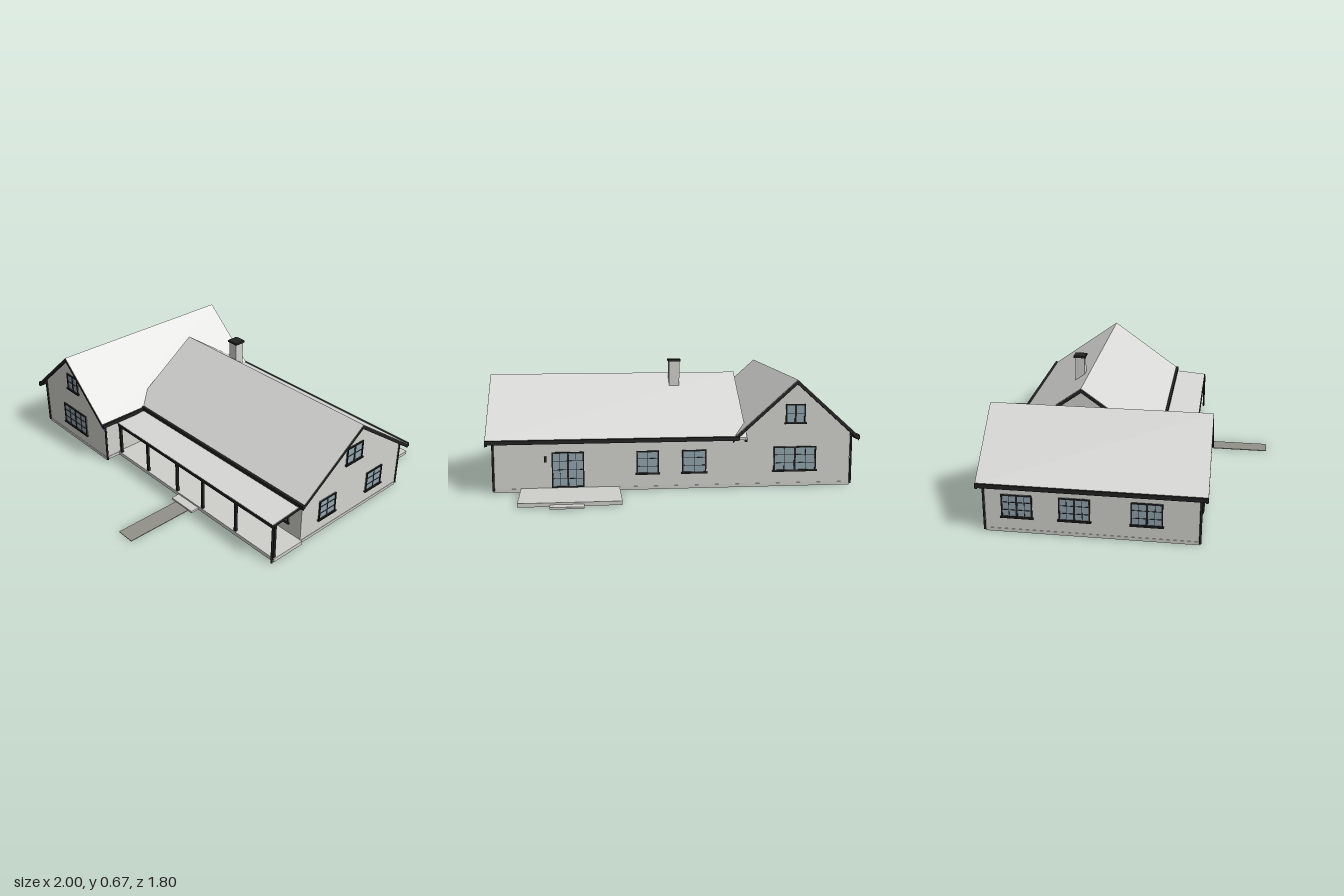
import * as THREE from 'three';

const mat = (name, color) => {
  const m = new THREE.MeshStandardMaterial({ color });
  m.name = name;
  return m;
};

export function createModel() {
  const house = new THREE.Group();
  house.name = 'house';
  const wallMat = mat('pale wall', 0xd3d3ce);
  const roofMat = mat('light roof', 0xd8d9d6);
  const stoneMat = mat('concrete', 0xcfcfcb);
  const pathMat = mat('path paving', 0x929289);
  const blackMat = mat('black trim', 0x222222);
  const glassMat = mat('blue grey glass', 0x93a5b0);
  const metalMat = mat('handle metal', 0xb5b5b5);

  const add = (parent, name, geo, m) => {
    const mesh = new THREE.Mesh(geo, m);
    mesh.name = name;
    parent.add(mesh);
    return mesh;
  };
  // Box given by its min and max on each axis
  const box = (parent, name, m, x0, x1, y0, y1, z0, z1) => {
    const b = add(parent, name, new THREE.BoxGeometry(x1 - x0, y1 - y0, z1 - z0), m);
    b.position.set((x0 + x1) / 2, (y0 + y1) / 2, (z0 + z1) / 2);
    return b;
  };
  // Outline extruded along local z from a to b
  const prism = (parent, name, m, pts, a, b) => {
    const shape = new THREE.Shape(pts.map(p => new THREE.Vector2(p[0], p[1])));
    const geo = new THREE.ExtrudeGeometry(shape, { depth: b - a, bevelEnabled: false });
    geo.translate(0, 0, a);
    return add(parent, name, geo, m);
  };

  // Gabled volume: walls, roof and rake boards, ridge along local z
  const PEAK = 0.585;
  function gabled(name, o) {
    const g = new THREE.Group();
    g.name = name;
    const s = (PEAK - o.eave) / o.half;
    const chevron = (top, low, h) => [
      [-h, PEAK - s * h - low], [0, PEAK - low], [h, PEAK - s * h - low],
      [h, PEAK - s * h - top], [0, PEAK - top], [-h, PEAK - s * h - top]];
    const wy = PEAK - s * o.wall - 0.012;
    prism(g, 'walls', wallMat,
      [[-o.wall, 0], [o.wall, 0], [o.wall, wy], [0, PEAK - 0.012], [-o.wall, wy]], o.w0, o.w1);
    prism(g, 'roof', roofMat, chevron(0, 0.012, o.half), o.r0, o.r1);
    for (const [a, b] of [[o.r0 - 0.001, o.r0 + 0.012], [o.r1 - 0.012, o.r1 + 0.001]])
      prism(g, 'rakeBoard', blackMat, chevron(0.003, 0.025, o.half), a, b);
    house.add(g);
    return g;
  }
  const wing = gabled('wing', { half: 0.345, wall: 0.305, eave: 0.275, w0: -0.54, w1: 0.548, r0: -0.575, r1: 0.585 });
  wing.position.x = -0.65;
  const main = gabled('mainHouse', { half: 0.43, wall: 0.395, eave: 0.278, w0: -0.345, w1: 0.962, r0: -0.38, r1: 0.999 });
  main.rotation.y = Math.PI / 2;
  main.position.z = -0.145;

  // Gutters along the eaves
  box(house, 'wingGutterRight', blackMat, -1, -0.98, 0.258, 0.28, -0.575, 0.585);
  box(house, 'wingGutterLeft', blackMat, -0.32, -0.298, 0.258, 0.28, 0.25, 0.585);
  box(house, 'mainGutterFront', blackMat, -0.32, 1, 0.263, 0.284, 0.272, 0.292);
  box(house, 'mainGutterBack', blackMat, -0.34, 1, 0.263, 0.284, -0.584, -0.563);

  // Downspouts
  for (const [x, z, top] of [[-0.96, 0.552, 0.27], [-0.33, 0.552, 0.27], [-0.96, -0.545, 0.27],
    [0.962, -0.546, 0.275], [0.978, 0.478, 0.235]]) {
    const d = add(house, 'downspout', new THREE.CylinderGeometry(0.006, 0.006, top - 0.01, 10), blackMat);
    d.position.set(x, (top + 0.01) / 2, z);
  }

  // Plinth around the wall feet
  box(house, 'wingPlinth', stoneMat, -0.957, -0.343, 0, 0.018, -0.542, 0.55);
  box(house, 'mainPlinth', stoneMat, -0.343, 0.964, 0, 0.018, -0.542, 0.252);

  // Porch
  const porch = new THREE.Group();
  porch.name = 'porch';
  house.add(porch);
  box(porch, 'porchFloor', stoneMat, -0.345, 0.975, 0, 0.022, 0.25, 0.458);
  for (const x of [-0.325, -0.065, 0.2, 0.417, 0.68, 0.962])
    box(porch, 'porchPost', blackMat, x - 0.007, x + 0.007, 0.02, 0.235, 0.441, 0.455);
  box(porch, 'porchBeam', blackMat, -0.34, 0.97, 0.224, 0.24, 0.441, 0.455);
  const porchRoof = prism(porch, 'porchRoof', roofMat,
    [[-0.25, 0.255], [-0.475, 0.238], [-0.475, 0.248], [-0.25, 0.267]], -0.34, 0.974);
  porchRoof.rotation.y = Math.PI / 2;
  const porchRake = prism(porch, 'porchRake', blackMat,
    [[-0.25, 0.247], [-0.475, 0.23], [-0.475, 0.244], [-0.25, 0.262]], 0.965, 0.976);
  porchRake.rotation.y = Math.PI / 2;
  box(porch, 'porchGutter', blackMat, -0.3, 0.976, 0.232, 0.247, 0.468, 0.482);

  // Steps, path and terrace
  box(house, 'frontStep', stoneMat, 0.22, 0.39, 0, 0.012, 0.45, 0.508);
  box(house, 'path', pathMat, 0.255, 0.36, 0, 0.004, 0.5, 0.9);
  box(house, 'terrace', stoneMat, 0.3, 0.82, 0, 0.02, -0.847, -0.54);
  box(house, 'terraceStep', stoneMat, 0.49, 0.66, 0, 0.01, -0.9, -0.845);

  // Chimney
  box(house, 'chimney', wallMat, -0.055, 0.002, 0.45, 0.658, -0.237, -0.183);
  box(house, 'chimneyCap', blackMat, -0.062, 0.008, 0.656, 0.668, -0.245, -0.177);

  // Windows: local frame faces +z, each sash has a pane grid
  const faces = {
    wingFront: u => [u, 0.548, 0],
    front: u => [u, 0.25, 0],
    back: u => [u, -0.54, Math.PI],
    right: u => [-0.955, u, -Math.PI / 2],
    left: u => [0.962, u, Math.PI / 2],
  };
  function onWall(name, face, u) {
    const g = new THREE.Group();
    g.name = name;
    const [x, z, r] = faces[face](u);
    g.position.set(x, 0, z);
    g.rotation.y = r;
    house.add(g);
    return g;
  }
  function glazing(name, face, a, b, y0, y1, sashes = 1, cols = 2, rows = 3, sill = true) {
    const g = onWall(name, face, (a + b) / 2);
    const h = Math.abs(b - a) / 2, f = 0.007, t = 0.0012;
    box(g, 'glass', glassMat, -h, h, y0, y1, -0.001, 0.003);
    for (const x of [-h, h - f]) box(g, 'frameSide', blackMat, x, x + f, y0, y1, 0, 0.008);
    for (const y of [y0, y1 - f]) box(g, 'frameRail', blackMat, -h, h, y, y + f, 0, 0.008);
    if (sill) box(g, 'sill', blackMat, -h - 0.006, h + 0.006, y0 - 0.003, y0 + 0.005, 0, 0.012);
    const n = sashes * cols;
    for (let i = 1; i < n; i++) {
      const x = -h + (2 * h * i) / n, w = i % cols === 0 ? 0.005 : t;
      box(g, 'glazingBar', blackMat, x - w, x + w, y0, y1, 0, 0.006);
    }
    for (let i = 1; i < rows; i++) {
      const y = y0 + ((y1 - y0) * i) / rows;
      box(g, 'glazingBar', blackMat, -h, h, y - t, y + t, 0, 0.006);
    }
  }
  for (const face of ['wingFront', 'back']) {
    glazing('wingWindow', face, -0.767, -0.533, 0.084, 0.218, 2);
    glazing('gableWindow', face, -0.704, -0.596, 0.345, 0.45, 2, 1, 2);
  }
  for (const [a, b, n] of [[-0.26, -0.135, 2], [-0.035, 0.077, 1], [0.543, 0.652, 1], [0.75, 0.876, 2]])
    glazing('porchWindow', 'front', a, b, 0.085, 0.208, n);
  glazing('sideWindow', 'left', 0.117, -0.012, 0.084, 0.207);
  glazing('sideWindow', 'left', -0.265, -0.395, 0.084, 0.207);
  glazing('gableWindow', 'left', -0.075, -0.203, 0.345, 0.45, 2, 1, 2);
  for (const z of [-0.375, -0.08, 0.285])
    glazing('wingSideWindow', 'right', z - 0.08, z + 0.08, 0.085, 0.212, 2);
  glazing('backWindow', 'back', 0.09, 0.21, 0.085, 0.21);
  glazing('backWindow', 'back', -0.165, -0.035, 0.085, 0.21);
  glazing('terraceDoor', 'back', 0.487, 0.657, 0.022, 0.212, 2, 2, 4, false);

  // Front door
  const door = onWall('frontDoor', 'front', 0.31);
  box(door, 'doorLeaf', blackMat, -0.046, 0.046, 0.022, 0.207, 0, 0.007);
  box(door, 'doorGlass', glassMat, -0.029, 0.029, 0.15, 0.194, 0.006, 0.0085);
  box(door, 'doorHandle', metalMat, 0.028, 0.034, 0.108, 0.122, 0.006, 0.014);

  // Wall lamps beside the doors
  for (const [face, u] of [['front', 0.235], ['front', 0.387], ['back', 0.69]])
    box(onWall('wallLamp', face, u), 'lampBody', blackMat, -0.006, 0.006, 0.162, 0.19, 0, 0.016);

  return house;
}
